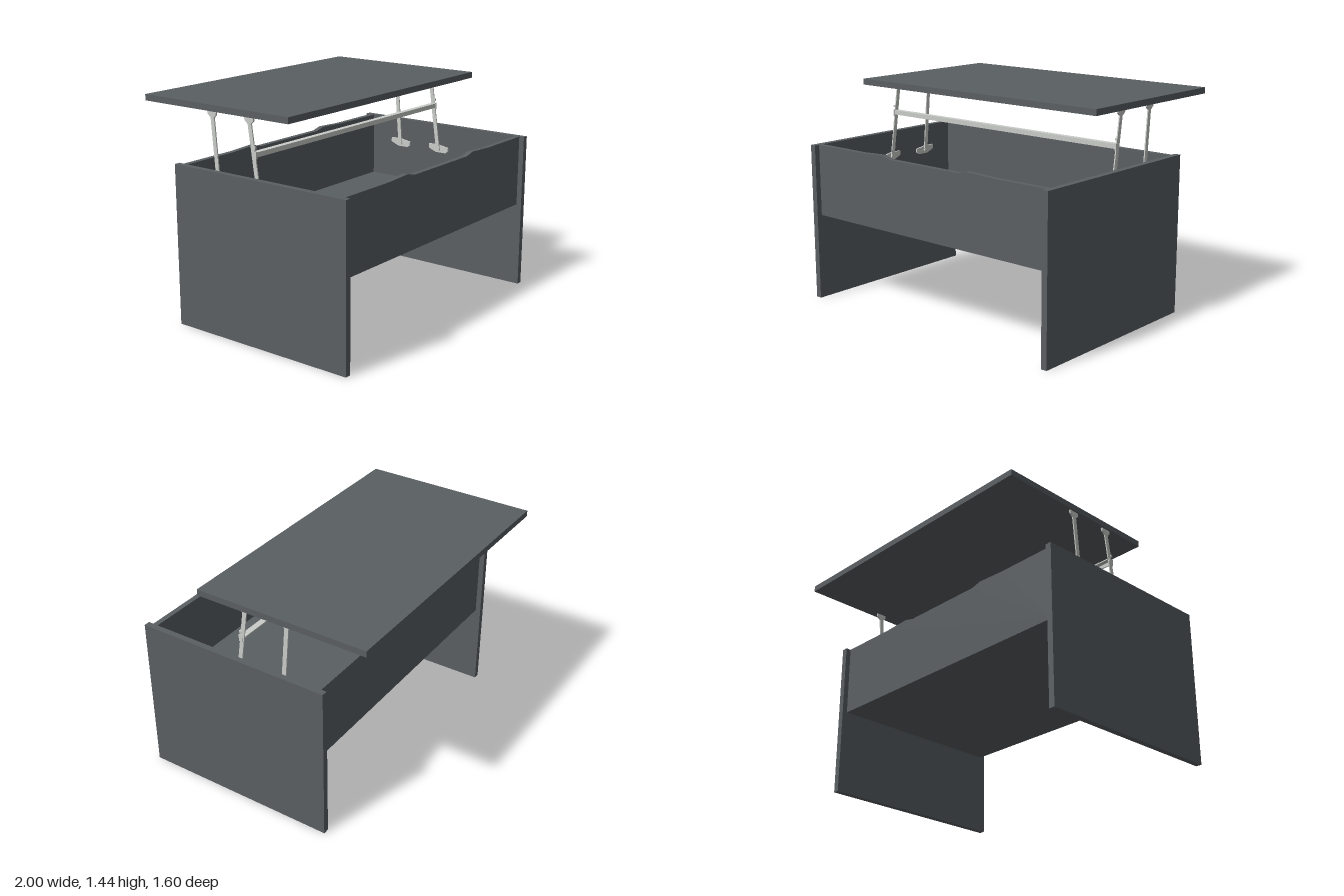
import * as THREE from 'three';

export function createModel() {
  const model = new THREE.Group();
  const board = new THREE.MeshStandardMaterial({ color: 0x5a5f62 });
  board.name = 'dark grey board';
  const metal = new THREE.MeshStandardMaterial({ color: 0xc9ccc9 });
  metal.name = 'light grey metal';

  const add = (name, geometry, material, parent = model) => {
    const mesh = new THREE.Mesh(geometry, material);
    mesh.name = name;
    parent.add(mesh);
    return mesh;
  };
  // Box from its minimum and maximum corners
  const box = (name, material, [x0, y0, z0], [x1, y1, z1], parent) => {
    const mesh = add(name, new THREE.BoxGeometry(x1 - x0, y1 - y0, z1 - z0), material, parent);
    mesh.position.set((x0 + x1) / 2, (y0 + y1) / 2, (z0 + z1) / 2);
    return mesh;
  };
  // Outline of (z, y) points made into a thin plate centred on x
  const sidePlate = (name, points, x, thickness, parent) => {
    const shape = new THREE.Shape(points.map(([z, y]) => new THREE.Vector2(-z, y)));
    const geometry = new THREE.ExtrudeGeometry(shape, { depth: thickness, bevelEnabled: false });
    geometry.translate(0, 0, -thickness / 2).rotateY(Math.PI / 2);
    const mesh = add(name, geometry, metal, parent);
    mesh.position.x = x;
    return mesh;
  };

  // Lifted table top, floor and side panels
  box('tableTop', board, [-0.96, 1.4, -0.8], [0.99, 1.44, 0.36]);
  box('storageFloor', board, [-0.96, 0.57, -0.45], [0.96, 0.61, 0.73]);
  box('rightSidePanel', board, [-1, 0, -0.52], [-0.96, 1.045, 0.8]);
  box('leftSidePanel', board, [0.96, 0, -0.52], [1, 1.045, 0.8]);

  // Front and back panels with a shallow finger recess along the upper edge
  const outline = new THREE.Shape();
  outline.moveTo(-0.96, 0.57);
  outline.lineTo(0.96, 0.57);
  for (const [x, y] of [[0.96, 1.045], [0.55, 1.045], [0.36, 1.054], [0.29, 1.036],
    [-0.29, 1.036], [-0.36, 1.054], [-0.55, 1.045], [-0.96, 1.045]]) outline.lineTo(x, y);
  const panel = new THREE.ExtrudeGeometry(outline, { depth: 0.035, bevelEnabled: false });
  add('frontPanel', panel, board).position.z = 0.73;
  add('backPanel', panel, board).position.z = -0.485;

  // Lifting arms, from pivots on the inner walls to brackets under the top
  for (const side of [-1, 1]) {
    const lift = new THREE.Group();
    lift.name = side < 0 ? 'rightLiftMechanism' : 'leftLiftMechanism';
    model.add(lift);
    const x = side * 0.943;
    for (const [name, zTop, zBase] of [['front', 0.052, 0.125], ['rear', -0.243, -0.2]]) {
      const w = 0.014;
      sidePlate(name + 'Arm', [[zBase - w, 0.87], [zBase + w, 0.87],
        [zTop + w, 1.375], [zTop - w, 1.375]], x, 0.008, lift);
      sidePlate(name + 'TopBracket', [[zTop - 0.038, 1.4], [zTop - 0.034, 1.38], [zTop - 0.012, 1.36],
        [zTop + 0.014, 1.36], [zTop + 0.032, 1.378], [zTop + 0.034, 1.4]], x, 0.012, lift);
      sidePlate(name + 'WallBracket', [[zBase - 0.08, 0.9], [zBase - 0.08, 0.87], [zBase - 0.02, 0.845],
        [zBase + 0.06, 0.845], [zBase + 0.08, 0.86], [zBase + 0.08, 0.885], [zBase, 0.9]],
      side * 0.954, 0.012, lift);
      const pivot = add(name + 'Pivot', new THREE.CylinderGeometry(0.015, 0.015, 0.02, 12), metal, lift);
      pivot.rotation.z = Math.PI / 2;
      pivot.position.set(side * 0.946, 0.87, zBase);
    }
    // Fixings that clamp the crossbar to the front arm
    box('crossbarClamp', metal, [x - 0.006, 1.155, 0.075], [x + 0.006, 1.2, 0.103], lift);
    box('crossbarBolt', metal, [x - 0.008, 1.215, 0.08], [x + 0.008, 1.23, 0.097], lift);
  }

  // Angle section crossbar joining the front arms
  box('crossbarFace', metal, [-0.94, 1.165, 0.09], [0.94, 1.195, 0.098]);
  box('crossbarFlange', metal, [-0.94, 1.187, 0.06], [0.94, 1.195, 0.09]);

  return model;
}
